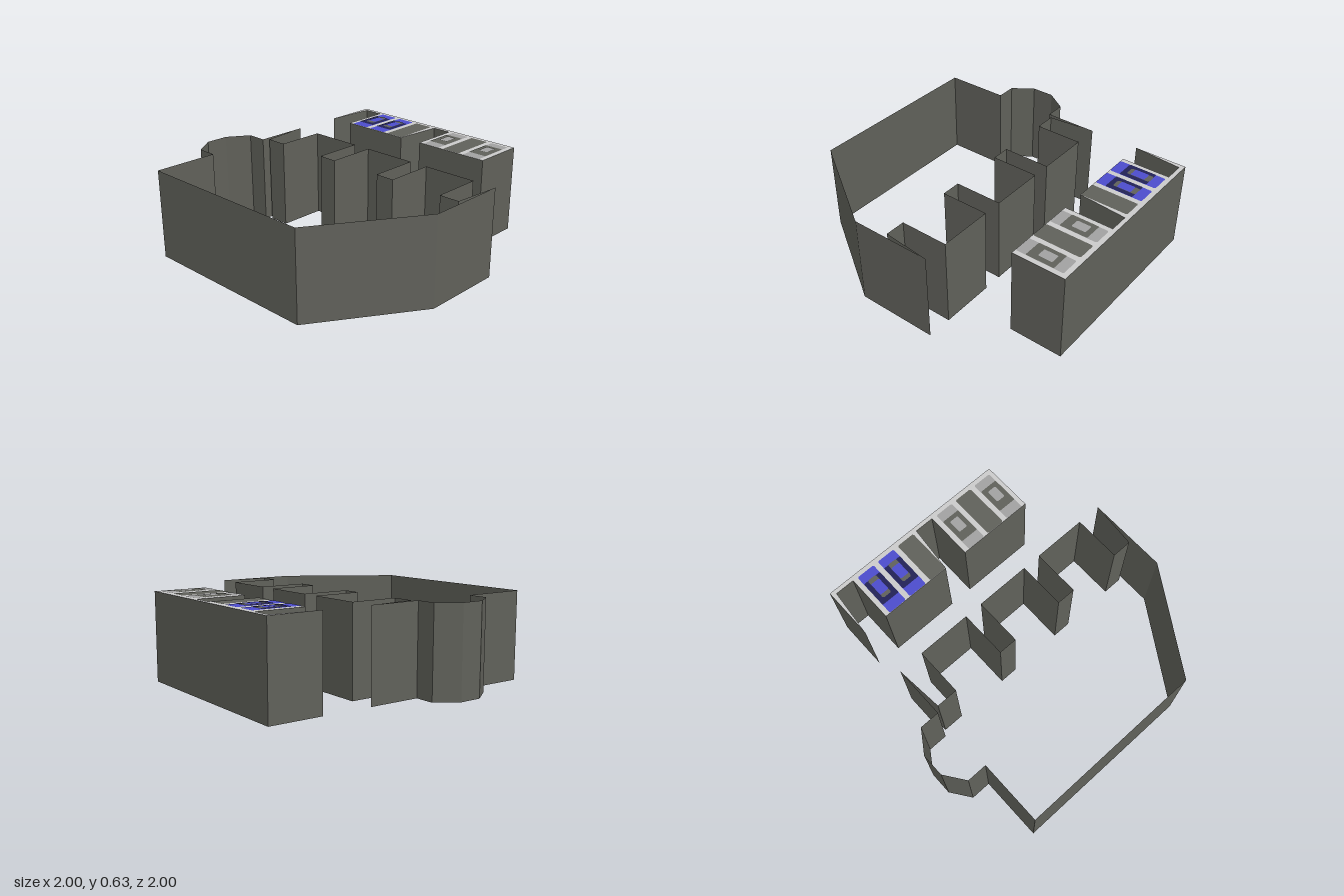
import * as THREE from 'three';

const HEIGHT = 0.62;

const mat = (name, color) =>
  new THREE.MeshStandardMaterial({ name, color, side: THREE.DoubleSide });

// Vertical sheet walls following a closed [x, z] outline
function walls(name, outline, material) {
  const pos = [];
  outline.forEach(([ax, az], i) => {
    const [bx, bz] = outline[(i + 1) % outline.length];
    pos.push(ax, 0, az, bx, 0, bz, bx, HEIGHT, bz);
    pos.push(ax, 0, az, bx, HEIGHT, bz, ax, HEIGHT, az);
  });
  const geo = new THREE.BufferGeometry();
  geo.setAttribute('position', new THREE.Float32BufferAttribute(pos, 3));
  geo.computeVertexNormals();
  const mesh = new THREE.Mesh(geo, material);
  mesh.name = name;
  return mesh;
}

// Flat horizontal plate from an [x, z] outline
function plate(name, outline, y, material) {
  const shape = new THREE.Shape(outline.map(([x, z]) => new THREE.Vector2(x, -z)));
  const geo = new THREE.ShapeGeometry(shape).rotateX(-Math.PI / 2);
  const mesh = new THREE.Mesh(geo, material);
  mesh.name = name;
  mesh.position.y = y;
  return mesh;
}

// Rectangle outline with clipped corners
function clippedRect(x0, x1, z0, z1, c = 0) {
  if (!c) return [[x0, z1], [x1, z1], [x1, z0], [x0, z0]];
  return [
    [x0 + c, z1], [x1 - c, z1], [x1, z1 - c], [x1, z0 + c],
    [x1 - c, z0], [x0 + c, z0], [x0, z0 + c], [x0, z1 - c],
  ];
}

export function createModel() {
  const group = new THREE.Group();
  const concrete = mat('darkConcrete', 0x60615a);
  const roofGrey = mat('roofGrey', 0xcbcbcb);
  const blue = mat('bluePaint', 0x4c4ccc);
  const darkBlue = mat('darkBlueGlass', 0x222256);
  const grey = mat('greyPaint', 0xa2a2a2);

  // Main block: outer boundary, then the notched rear
  const main = [[-0.76, 1], [0.55, 1], [1, 0.3], [1, -0.27], [0.97, 0.065]];
  for (const [right, left] of [[0.83, 0.45], [0.315, -0.07], [-0.2, -0.58]]) {
    main.push([right, 0.065], [right, -0.272], [left, -0.272], [left, 0.065]);
  }
  main.push([-0.73, 0.065], [-0.76, -0.27], [-0.76, 0.1], [-0.9, 0.1],
    [-1, 0.25], [-1, 0.41], [-0.9, 0.55], [-0.76, 0.55]);
  group.add(walls('mainBlockWalls', main, concrete));

  // Rear garage row with its flat roof
  const garage = [
    [-0.76, -1], [-0.76, -0.625], [-0.727, -0.97], [-0.588, -0.97],
    [-0.588, -0.625], [-0.072, -0.625], [-0.039, -0.97], [0.1, -0.97],
    [0.1, -0.625], [0.65, -0.625], [0.65, -1],
  ];
  group.add(walls('garageWalls', garage, concrete));
  group.add(plate('garageRoof', garage, HEIGHT, roofGrey));

  // Parking bays painted on the roof
  const addBay = (name, x, paint, glass) => {
    const bay = new THREE.Group();
    bay.name = name;
    const add = (part, halfW, z0, z1, level, material, clip) =>
      bay.add(plate(part, clippedRect(x - halfW, x + halfW, z0, z1, clip),
        HEIGHT + level * 0.002, material));
    add('bayBody', 0.068, -0.966, -0.627, 1, paint, 0.008);
    if (glass) {
      // Car seen from above: glass band, trim and cabin roof
      add('carGlass', 0.068, -0.898, -0.7, 2, glass, 0.006);
      if (glass === darkBlue) add('carTrim', 0.034, -0.9, -0.735, 3, concrete, 0.008);
      add('carCabin', 0.034, -0.864, -0.763, 4, paint, 0.006);
    }
    group.add(bay);
  };
  addBay('blueCarBayA', -0.485, blue, darkBlue);
  addBay('blueCarBayB', -0.312, blue, darkBlue);
  addBay('emptyBayA', -0.139, concrete);
  addBay('greyCarBayA', 0.205, grey, concrete);
  addBay('emptyBayB', 0.377, concrete);
  addBay('greyCarBayB', 0.55, grey, concrete);

  return group;
}
